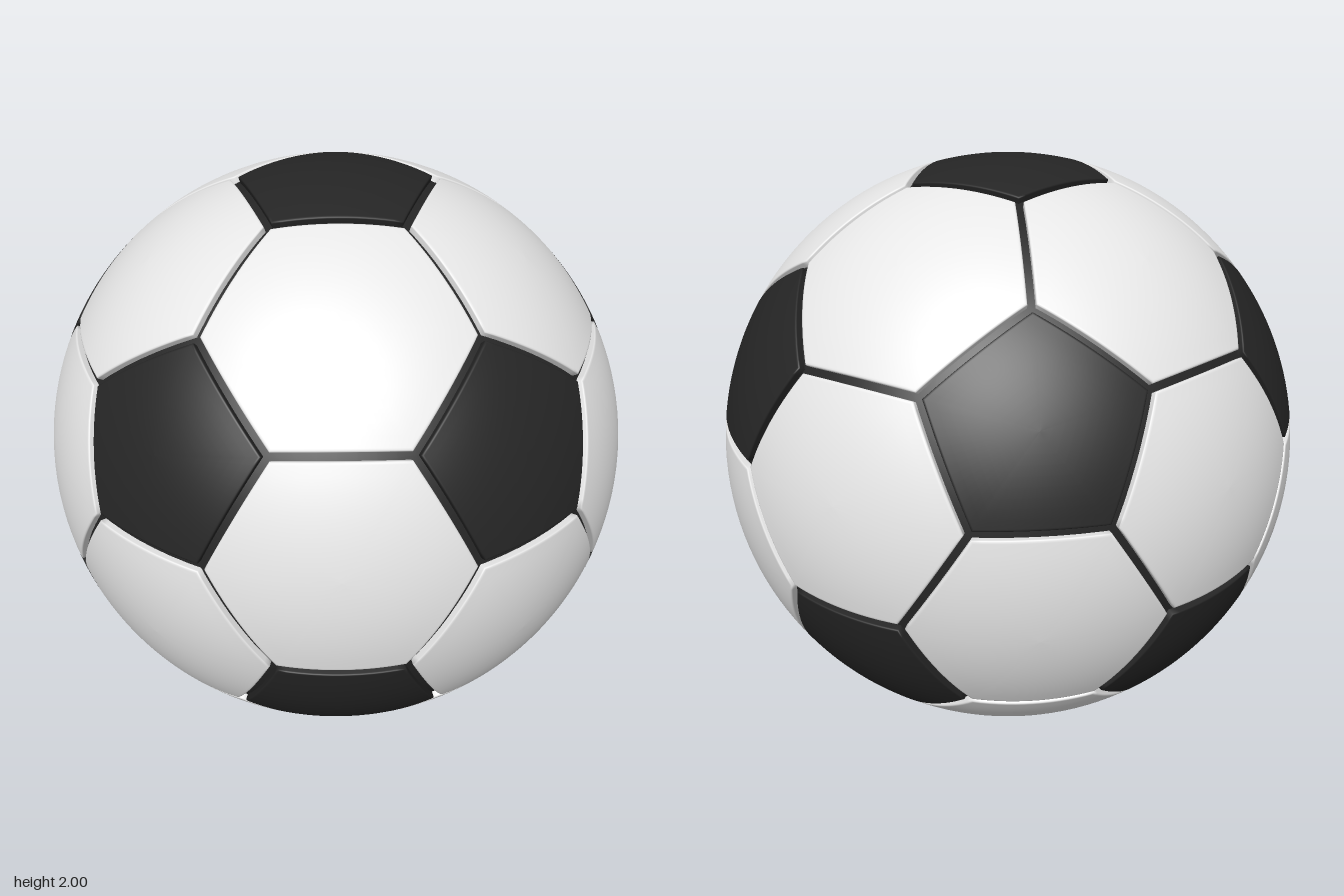
import * as THREE from 'three';

const white = new THREE.MeshStandardMaterial({ color: 0xf0f0f0 });
white.name = 'white';
const black = new THREE.MeshStandardMaterial({ color: 0x252525 });
black.name = 'black';

const GAP = 0.013;   // half the seam width
const SEAM_R = 0.978; // radius of the core at the bottom of the seams
const SEGS = 14;      // steps along each panel edge

// Order corners counter-clockwise as seen from outside the ball
function sortAround(centre, corners) {
  const u = corners[0].clone().sub(centre);
  const v = centre.clone().normalize().cross(u);
  const angle = (p) => {
    const d = p.clone().sub(centre);
    return Math.atan2(d.dot(v), d.dot(u));
  };
  return corners.slice().sort((a, b) => angle(a) - angle(b));
}

// Domed polygon panel with a small rounded rim and a wall down into the seam
function panelGeometry(points) {
  const centre = new THREE.Vector3();
  points.forEach((p) => centre.addScaledVector(p, 1 / points.length));
  const corners = sortAround(centre, points);
  const inradius = corners[0].clone().lerp(corners[1], 0.5).distanceTo(centre);
  const edge = 1 - GAP / inradius;

  // Rings as [fraction from centre to edge, radius]
  const rings = [];
  for (let i = 0; i <= 9; i++) rings.push([(edge - 0.03) * i / 9, 1]);
  rings.push([edge - 0.015, 1], [edge - 0.004, 0.9985], [edge, 0.995], [edge, 0.97]);

  const n = corners.length * SEGS;
  const positions = [];
  const index = [];
  rings.forEach(([t, radius], r) => {
    for (let j = 0; j < n; j++) {
      const side = Math.floor(j / SEGS);
      const onEdge = corners[side].clone()
        .lerp(corners[(side + 1) % corners.length], (j % SEGS) / SEGS);
      const p = centre.clone().lerp(onEdge, t).setLength(radius);
      positions.push(p.x, p.y, p.z);
      if (r === 0) continue;
      const k = (j + 1) % n;
      const a = (r - 1) * n + j, b = (r - 1) * n + k;
      const c = r * n + j, d = r * n + k;
      if (r > 1) index.push(a, d, b);
      index.push(a, c, d);
    }
  });
  const g = new THREE.BufferGeometry();
  g.setAttribute('position', new THREE.Float32BufferAttribute(positions, 3));
  g.setIndex(index);
  g.computeVertexNormals();
  return g;
}

export function createModel() {
  const model = new THREE.Group();
  model.name = 'football';
  const ball = new THREE.Group();
  ball.name = 'ball';
  ball.position.y = 1;
  model.add(ball);

  const add = (name, geometry, material) => {
    const mesh = new THREE.Mesh(geometry, material);
    mesh.name = name;
    ball.add(mesh);
  };

  // Dark core that shows through the seams
  add('seamCore', new THREE.SphereGeometry(SEAM_R, 96, 64), black);

  // Twelve pentagon centres: two poles and two staggered rings of five
  const hubs = [new THREE.Vector3(0, 1, 0), new THREE.Vector3(0, -1, 0)];
  const h = 1 / Math.sqrt(5);
  for (let i = 0; i < 5; i++) {
    for (const s of [1, -1]) {
      const a = (i * 2 + (s < 0 ? 1 : 0)) * Math.PI / 5;
      hubs.push(new THREE.Vector3(2 * h * Math.cos(a), s * h, 2 * h * Math.sin(a)));
    }
  }
  const near = (a, b) => a !== b && a.distanceTo(b) < 1.2;
  const third = (a, b) => a.clone().lerp(b, 1 / 3).normalize();

  // Black pentagons
  hubs.forEach((a) => {
    const corners = hubs.filter((b) => near(a, b)).map((b) => third(a, b));
    add('pentagonPanel', panelGeometry(corners), black);
  });

  // White hexagons, one between every three neighbouring pentagons
  hubs.forEach((a, i) => hubs.forEach((b, j) => hubs.forEach((c, k) => {
    if (i < j && j < k && near(a, b) && near(b, c) && near(a, c)) {
      const corners = [[a, b], [b, a], [b, c], [c, b], [c, a], [a, c]].map(([p, q]) => third(p, q));
      add('hexagonPanel', panelGeometry(corners), white);
    }
  })));

  return model;
}
